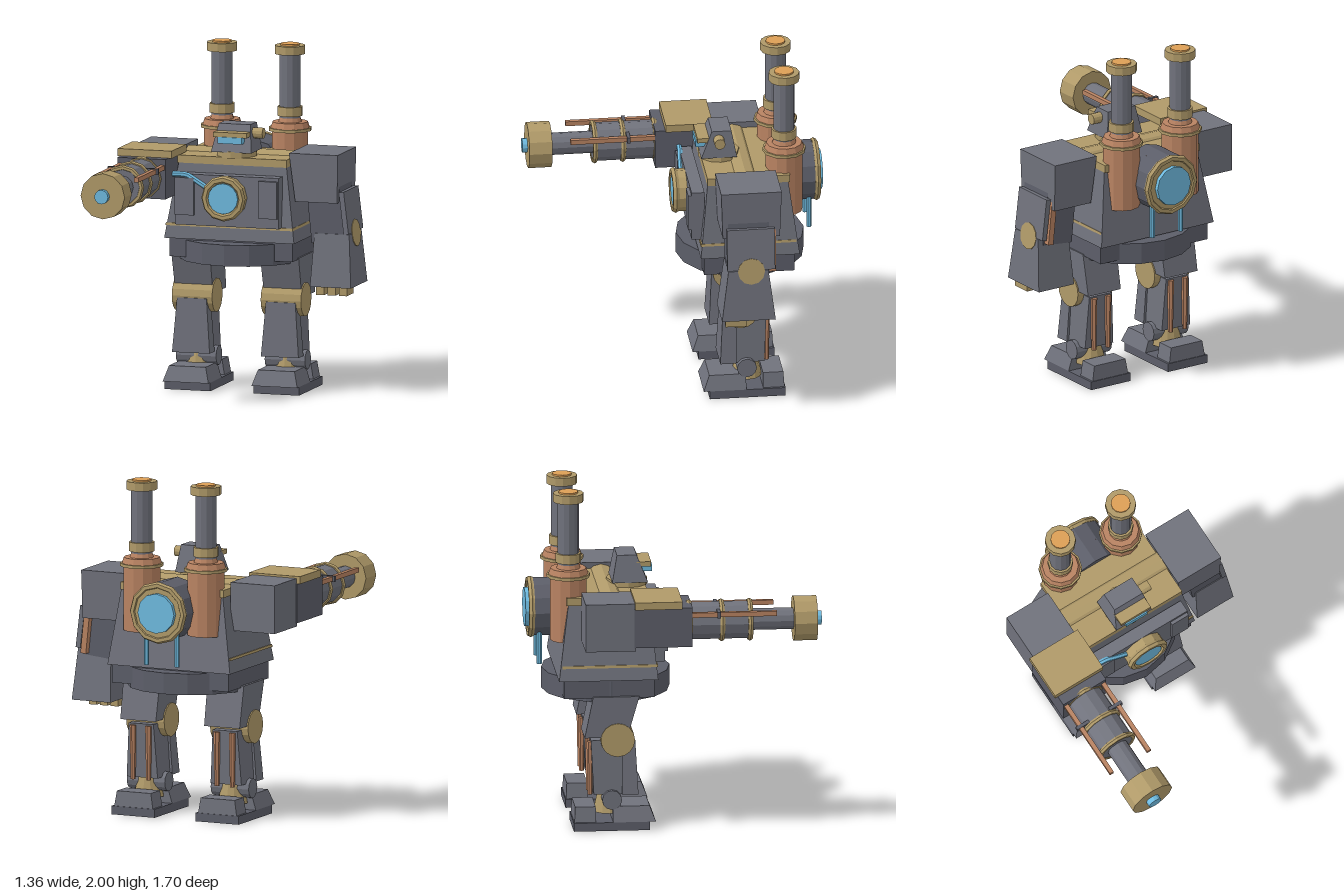
import * as THREE from 'three';

const mat = (color) => new THREE.MeshStandardMaterial({ color, flatShading: true });
const steel = mat(0x70727c), dark = mat(0x5c5e69), brass = mat(0xb09a69);
const copper = mat(0xb98362), glass = mat(0x6fbbe0), ember = mat(0xdd9f56);
const CX = -0.037; // centre line of the body

export function createModel() {
  const root = new THREE.Group();

  const add = (parent, name, geo, material, x, y, z) => {
    const m = new THREE.Mesh(geo, material);
    m.name = name;
    m.position.set(x, y, z);
    parent.add(m);
    return m;
  };
  // box given by its limits
  const box = (p, name, m, x0, x1, y0, y1, z0, z1) =>
    add(p, name, new THREE.BoxGeometry(x1 - x0, y1 - y0, z1 - z0), m, (x0 + x1) / 2, (y0 + y1) / 2, (z0 + z1) / 2);
  // tapered block: [x0, x1, z0, z1] at the bottom and at the top
  const taper = (p, name, m, y0, y1, b, t) => {
    const g = new THREE.BoxGeometry(1, 1, 1), a = g.attributes.position;
    for (let i = 0; i < a.count; i++) {
      const s = a.getY(i) > 0 ? t : b;
      a.setXYZ(i, a.getX(i) < 0 ? s[0] : s[1], a.getY(i) > 0 ? y1 : y0, a.getZ(i) < 0 ? s[2] : s[3]);
    }
    g.computeVertexNormals();
    return add(p, name, g, m, 0, 0, 0);
  };
  // cylinder along an axis, from a to b on that axis, centred on the other two coordinates
  const cyl = (p, name, m, axis, a, b, r, u, v, r2 = r, sides = 12) => {
    const g = new THREE.CylinderGeometry(r2, r, b - a, sides);
    const c = (a + b) / 2;
    if (axis === 'x') return add(p, name, g.rotateZ(-Math.PI / 2), m, c, u, v);
    if (axis === 'z') return add(p, name, g.rotateX(Math.PI / 2), m, u, v, c);
    return add(p, name, g, m, u, c, v);
  };
  const group = (name) => {
    const g = new THREE.Group();
    g.name = name;
    root.add(g);
    return g;
  };

  // torso and waist
  const torso = group('torso');
  taper(torso, 'hull', steel, 0.9, 1.34, [-0.435, 0.36, -0.68, -0.1], [-0.36, 0.3, -0.62, -0.145]);
  box(torso, 'roofPlate', brass, -0.37, 0.3, 1.34, 1.385, -0.63, -0.145);
  taper(torso, 'beltTrim', brass, 0.975, 0.99, [-0.427, 0.352, -0.66, -0.1], [-0.425, 0.35, -0.66, -0.102]);
  box(torso, 'pelvis', dark, -0.41, 0.345, 0.79, 0.9, -0.65, -0.12);
  cyl(torso, 'waistDisc', dark, 'y', 0.765, 0.89, 0.375, CX, -0.375, 0.375, 16);
  box(torso, 'chestPanel', steel, -0.355, 0.28, 0.99, 1.29, -0.13, -0.055);
  for (const s of [-1, 1])
    box(torso, 'chestPod', steel, CX + s * 0.255 - 0.057, CX + s * 0.255 + 0.057, 1.05, 1.27, -0.1, -0.035);
  cyl(torso, 'shoulderAxle', brass, 'x', -0.4, 0.32, 0.09, 1.32, -0.37);

  // front porthole with its hose
  const porthole = group('frontPorthole');
  cyl(porthole, 'portBody', brass, 'z', -0.1, 0.01, 0.125, CX, 1.165);
  add(porthole, 'portRim', new THREE.TorusGeometry(0.113, 0.022, 6, 12), brass, CX, 1.165, 0.008);
  cyl(porthole, 'portGlass', glass, 'z', 0, 0.02, 0.09, CX, 1.165, 0.09, 16);
  const hose = new THREE.CatmullRomCurve3([
    [-0.38, 1.285, -0.06], [-0.28, 1.285, -0.055], [-0.24, 1.265, -0.05], [-0.13, 1.2, -0.045]
  ].map((p) => new THREE.Vector3(...p)));
  add(porthole, 'hose', new THREE.TubeGeometry(hose, 10, 0.016, 6), glass, 0, 0, 0);

  // head
  const head = group('head');
  cyl(head, 'neck', brass, 'y', 1.38, 1.42, 0.12, CX, -0.25);
  taper(head, 'skull', steel, 1.415, 1.575, [-0.16, 0.085, -0.345, -0.135], [-0.132, 0.062, -0.315, -0.2]);
  box(head, 'brow', brass, -0.14, 0.065, 1.507, 1.535, -0.2, -0.115);
  box(head, 'visor', glass, -0.11, 0.036, 1.47, 1.508, -0.18, -0.107);
  cyl(head, 'earKnob', brass, 'x', 0.03, 0.13, 0.032, 1.522, -0.24);

  // twin boiler stacks
  for (const s of [-1, 1]) {
    const stack = group('smokestack');
    const x = CX + s * 0.208, z = -0.61;
    cyl(stack, 'tank', copper, 'y', 1.11, 1.5, 0.108, x, z);
    cyl(stack, 'tankBand', brass, 'y', 1.488, 1.506, 0.127, x, z);
    cyl(stack, 'tankFlange', copper, 'y', 1.506, 1.54, 0.117, x, z, 0.105);
    cyl(stack, 'collarFoot', copper, 'y', 1.54, 1.57, 0.07, x, z, 0.06);
    cyl(stack, 'pipe', steel, 'y', 1.54, 1.96, 0.062, x, z);
    cyl(stack, 'pipeCollar', brass, 'y', 1.575, 1.63, 0.074, x, z);
    cyl(stack, 'cap', brass, 'y', 1.94, 1.99, 0.09, x, z);
    cyl(stack, 'glow', ember, 'y', 1.98, 2.0, 0.057, x, z);
    const spike = add(stack, 'tankSpout', new THREE.ConeGeometry(0.03, 0.12, 6), copper, x - s * 0.1, 1.36, z - 0.07);
    spike.rotation.z = s * 0.5;
  }

  // rear boiler
  const boiler = group('rearBoiler');
  cyl(boiler, 'drum', dark, 'z', -0.81, -0.56, 0.175, CX, 1.255);
  cyl(boiler, 'drumFace', brass, 'z', -0.825, -0.8, 0.178, CX, 1.255);
  add(boiler, 'drumRim', new THREE.TorusGeometry(0.163, 0.021, 6, 12), brass, CX, 1.255, -0.815);
  cyl(boiler, 'drumGlass', glass, 'z', -0.85, -0.82, 0.118, CX, 1.255);
  for (const s of [-1, 1]) cyl(boiler, 'drainTube', glass, 'y', 0.935, 1.14, 0.015, CX + s * 0.1, -0.77, 0.015, 6);

  // legs
  for (const s of [-1, 1]) {
    const leg = group('leg');
    leg.position.x = CX + s * 0.272;
    taper(leg, 'thigh', steel, 0.555, 0.8, [-0.115, 0.115, -0.53, -0.28], [-0.118, 0.118, -0.48, -0.21]);
    cyl(leg, 'knee', brass, 'x', -0.123, 0.123, 0.1, 0.54, -0.336, 0.1, 16);
    taper(leg, 'shinGuard', steel, 0.21, 0.53, [-0.115, 0.115, -0.31, -0.215], [-0.09, 0.09, -0.31, -0.232]);
    taper(leg, 'calf', steel, 0.21, 0.53, [-0.1, 0.1, -0.475, -0.3], [-0.08, 0.08, -0.49, -0.3]);
    for (const e of [-1, 1]) cyl(leg, 'calfPiston', copper, 'y', 0.2, 0.52, 0.014, e * 0.05, -0.493, 0.02, 6);
    cyl(leg, 'ankleCone', brass, 'y', 0.09, 0.23, 0.09, 0, -0.38, 0.06);
    cyl(leg, 'anklePin', steel, 'x', -0.123, 0.123, 0.058, 0.18, -0.37);
    box(leg, 'sole', dark, -0.14, 0.14, 0, 0.05, -0.595, -0.15);
    taper(leg, 'toeCap', steel, 0.05, 0.14, [-0.14, 0.14, -0.365, -0.115], [-0.112, 0.112, -0.365, -0.15]);
    taper(leg, 'heel', steel, 0.05, 0.14, [-0.125, 0.125, -0.59, -0.465], [-0.11, 0.11, -0.585, -0.465]);
  }

  // left arm with hand
  const arm = group('leftArm');
  taper(arm, 'shoulder', steel, 1.135, 1.42, [0.335, 0.592, -0.535, -0.2], [0.3, 0.597, -0.545, -0.19]);
  const upper = box(arm, 'upperArm', dark, 0.41, 0.61, 0.9, 1.22, -0.47, -0.23);
  upper.rotation.z = 0.1;
  const guard = box(arm, 'armGuard', steel, 0.61, 0.64, 0.95, 1.2, -0.5, -0.22);
  guard.rotation.z = 0.12;
  const rod = box(arm, 'armRod', copper, 0.57, 0.605, 0.92, 1.2, -0.51, -0.47);
  rod.rotation.z = 0.1;
  const elbow = cyl(arm, 'elbow', brass, 'x', 0.41, 0.66, 0.08, 0.93, -0.36);
  elbow.rotation.z = 0.12;
  taper(arm, 'forearm', steel, 0.64, 0.95, [0.43, 0.68, -0.5, -0.185], [0.445, 0.657, -0.46, -0.225]);
  for (let i = 0; i < 3; i++) {
    const x = 0.46 + i * 0.07;
    box(arm, 'finger', brass, x, x + 0.048, 0.59, 0.65, -0.335, -0.21);
  }

  // right arm with cannon
  const cannon = group('cannonArm');
  const ax = -0.515, ay = 1.275;
  box(cannon, 'shoulder', steel, -0.658, -0.372, 1.135, 1.42, -0.545, -0.25);
  box(cannon, 'breech', dark, -0.663, -0.368, 1.155, 1.39, -0.26, 0.08);
  box(cannon, 'breechPlate', brass, -0.682, -0.35, 1.388, 1.432, -0.257, 0.02);
  cyl(cannon, 'barrelJacket', steel, 'z', 0.07, 0.435, 0.113, ax, ay);
  for (const z of [0.07, 0.26, 0.425])
    add(cannon, 'barrelRing', new THREE.TorusGeometry(0.112, 0.016, 6, 12), brass, ax, ay, z);
  cyl(cannon, 'barrel', steel, 'z', 0.42, 0.7, 0.065, ax, ay);
  cyl(cannon, 'muzzle', brass, 'z', 0.68, 0.815, 0.135, ax, ay);
  cyl(cannon, 'muzzleCore', glass, 'z', 0.8, 0.845, 0.042, ax, ay);
  box(cannon, 'rodBracket', dark, -0.67, -0.36, 1.325, 1.36, 0.225, 0.245);
  for (const s of [-1, 1])
    box(cannon, 'recoilRod', copper, ax + s * 0.128 - 0.013, ax + s * 0.128 + 0.013, 1.328, 1.356, 0.06, 0.575);

  return root;
}
